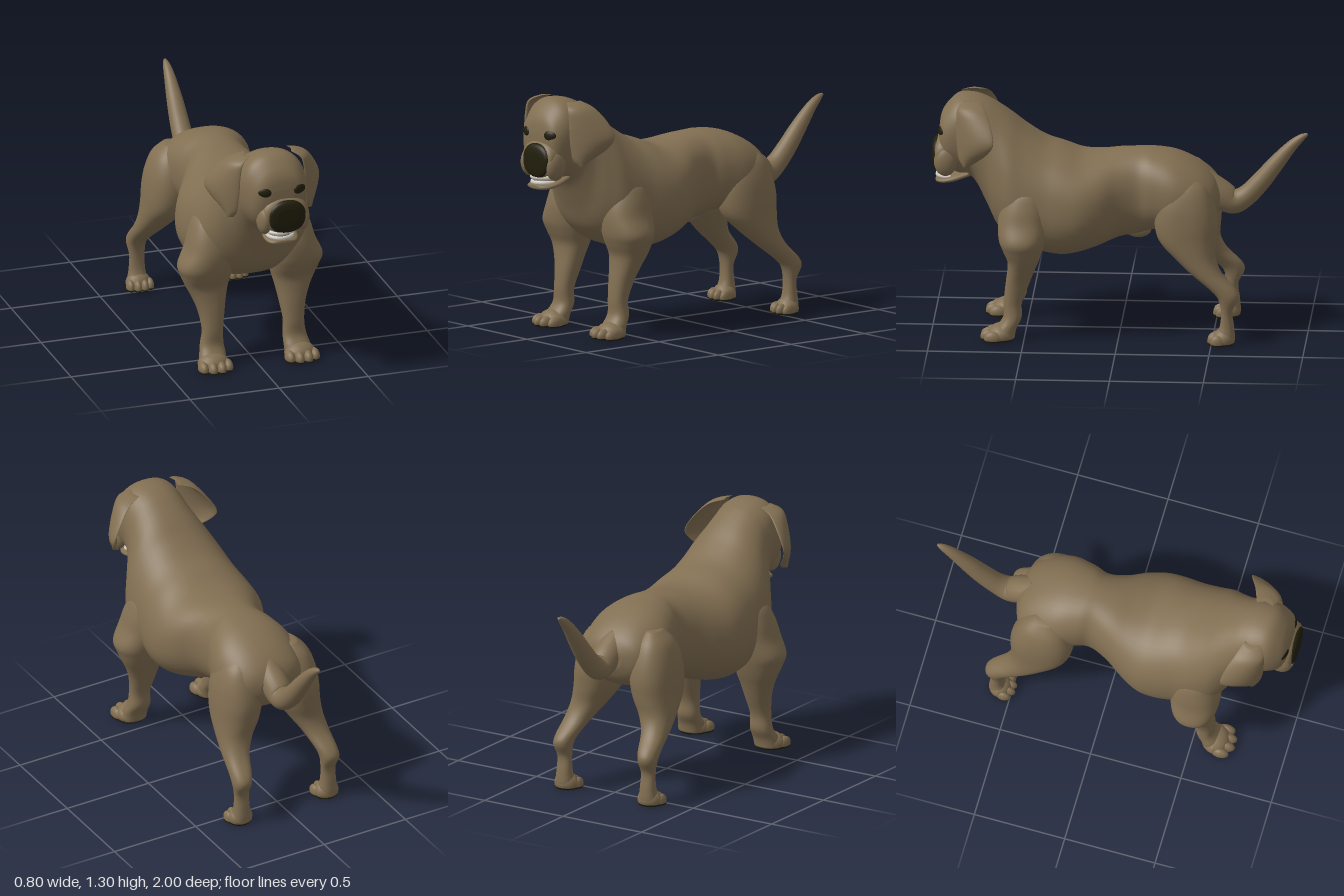
import * as THREE from 'three';

const mat = (name, color) => {
  const m = new THREE.MeshStandardMaterial({ color });
  m.name = name;
  return m;
};

// Smooth interpolation between rows of numbers
function resample(rows, steps) {
  const out = [];
  const last = rows.length - 1;
  const row = (i) => rows[Math.max(0, Math.min(last, i))];
  for (let i = 0; i < last; i++) {
    for (let s = 0; s < steps; s++) {
      const t = s / steps;
      out.push(row(i).map((b, k) => {
        const a = row(i - 1)[k], c = row(i + 1)[k], d = row(i + 2)[k];
        return b + 0.5 * t * (c - a + t * (2 * a - 5 * b + 4 * c - d + t * (3 * (b - c) + d - a)));
      }));
    }
  }
  out.push(rows[last]);
  return out;
}

// Closed skin over a list of rings, with fan caps at both ends
function skin(rings) {
  const n = rings[0].length, pos = [], idx = [];
  rings.forEach((r) => r.forEach((p) => pos.push(...p)));
  for (let i = 0; i < rings.length - 1; i++) {
    for (let j = 0; j < n; j++) {
      const k = (j + 1) % n, a = i * n + j, b = i * n + k;
      idx.push(a, b, b + n, a, b + n, a + n);
    }
  }
  [0, rings.length - 1].forEach((i) => {
    const c = pos.length / 3;
    pos.push(...[0, 1, 2].map((k) => rings[i].reduce((s, p) => s + p[k], 0) / n));
    for (let j = 0; j < n; j++) {
      const a = i * n + j, b = i * n + (j + 1) % n;
      idx.push(c, ...(i ? [a, b] : [b, a]));
    }
  });
  const g = new THREE.BufferGeometry();
  g.setAttribute('position', new THREE.Float32BufferAttribute(pos, 3));
  g.setIndex(idx);
  g.computeVertexNormals();
  return g;
}

const ringOf = (n, fn) => Array.from({ length: n }, (_, j) => fn((j / n) * Math.PI * 2));
const soft = (v) => Math.sign(v) * Math.abs(v) ** 0.88;

// Rows are [t, x0, x1, v0, v1, belly]; t runs up z (v = y) or down y (v = z)
function loft(rows, axis, n = 36) {
  return skin(resample(rows, 5).map(([t, x0, x1, v0, v1, k = 0]) => ringOf(n, (a) => {
    const s = soft(Math.sin(a));
    const x = (x0 + x1) / 2 + ((x1 - x0) / 2) * soft(Math.cos(a)) * (1 - k * s);
    const v = (v0 + v1) / 2 + ((v1 - v0) / 2) * s;
    return axis === 'z' ? [x, v, t] : [x, t, v];
  })));
}

export function createModel() {
  const model = new THREE.Group();
  model.name = 'dog';
  const fur = mat('fur brown', 0x826f52);
  const dark = mat('nose and pad dark', 0x211e0b);
  const white = mat('tooth white', 0xd2cdc2);
  const tongueTan = mat('tongue tan', 0x8a7462);

  const add = (name, geo, material) => {
    const m = new THREE.Mesh(geo, material);
    m.name = name;
    model.add(m);
    return m;
  };
  const blob = (name, p, r, material) => {
    const m = add(name, new THREE.SphereGeometry(1, 24, 16), material);
    m.position.set(...p);
    m.scale.set(...r);
    return m;
  };

  // Torso, neck and skull in one skin
  add('body', loft([
    [-0.535, -0.06, 0.11, 0.7, 0.81, 0],
    [-0.5, -0.15, 0.19, 0.63, 0.87, 0],
    [-0.42, -0.2, 0.25, 0.58, 0.935, 0.05],
    [-0.3, -0.22, 0.27, 0.57, 0.99, 0.05],
    [-0.18, -0.19, 0.24, 0.57, 1.01, 0],
    [-0.1, -0.17, 0.215, 0.545, 1.01, 0],
    [0, -0.21, 0.24, 0.525, 1, 0],
    [0.1, -0.27, 0.3, 0.485, 0.985, 0.03],
    [0.2, -0.315, 0.335, 0.45, 0.985, 0.05],
    [0.3, -0.32, 0.335, 0.43, 1.02, 0.08],
    [0.4, -0.31, 0.32, 0.44, 1.055, 0.1],
    [0.5, -0.3, 0.31, 0.465, 1.12, 0.16],
    [0.58, -0.275, 0.295, 0.51, 1.185, 0.18],
    [0.65, -0.23, 0.255, 0.58, 1.235, 0.12],
    [0.71, -0.185, 0.215, 0.7, 1.27, 0],
    [0.78, -0.165, 0.2, 0.83, 1.292, -0.08],
    [0.86, -0.155, 0.195, 0.86, 1.29, -0.08],
    [0.92, -0.125, 0.18, 0.9, 1.24, 0],
    [0.952, -0.085, 0.15, 0.97, 1.185, 0],
    [0.962, -0.03, 0.09, 1.03, 1.12, 0],
  ], 'z', 48), fur);

  // Muzzle, nose and lower jaw
  add('muzzle', loft([
    [0.84, -0.06, 0.16, 0.93, 1.08],
    [0.9, -0.08, 0.17, 0.9, 1.095],
    [0.95, -0.08, 0.175, 0.885, 1.08],
    [0.978, -0.065, 0.165, 0.885, 1.055],
    [0.986, -0.02, 0.12, 0.93, 1.02],
  ], 'z'), fur);
  add('nose', loft([
    [0.95, -0.045, 0.15, 0.89, 1.065],
    [0.975, -0.052, 0.157, 0.882, 1.064],
    [0.992, -0.04, 0.145, 0.892, 1.05],
    [1, -0.005, 0.105, 0.93, 1.02],
  ], 'z'), dark);
  add('lowerJaw', loft([
    [0.8, -0.02, 0.12, 0.85, 0.89],
    [0.88, -0.055, 0.135, 0.822, 0.868],
    [0.94, -0.05, 0.125, 0.812, 0.85],
    [0.975, -0.025, 0.1, 0.815, 0.842],
    [0.982, 0.01, 0.07, 0.823, 0.836],
  ], 'z'), fur);
  blob('tongue', [0.035, 0.858, 0.91], [0.055, 0.016, 0.055], tongueTan);
  [['upperTeeth', 0.878, 0.075], ['lowerTeeth', 0.85, 0.07]].forEach(([name, y, r]) => {
    const t = add(name, new THREE.TorusGeometry(1, 0.13, 8, 28, Math.PI), white);
    t.position.set(0.035, y, 0.9);
    t.rotation.x = Math.PI / 2;
    t.scale.set(r, 0.075, 0.09);
  });

  for (const side of [-1, 1]) {
    const label = side > 0 ? 'left' : 'right';
    const mirror = (rows) => rows.map(([t, a, b, ...v]) => (side > 0 ? [t, a, b, ...v] : [t, -b, -a, ...v]));

    // Hanging upper lip and eye
    blob(label + 'Lip', [0.045 + side * 0.105, 0.95, 0.925], [0.04, 0.08, 0.062], fur);
    const eye = blob(label + 'Eye', [0.033 + side * 0.098, 1.112, 0.946], [0.038, 0.029, 0.016], dark);
    eye.rotation.y = side * 0.35;

    // Ear flap: rows of [y, front x, front z, back x, back z, half thickness]
    add(label + 'Ear', skin(resample([
      [1.28, 0.12, 0.83, 0.12, 0.74, 0.012],
      [1.25, 0.165, 0.86, 0.2, 0.71, 0.018],
      [1.18, 0.18, 0.865, 0.27, 0.675, 0.018],
      [1.1, 0.185, 0.865, 0.315, 0.66, 0.016],
      [1.04, 0.19, 0.86, 0.295, 0.69, 0.015],
      [0.98, 0.195, 0.85, 0.24, 0.75, 0.013],
      [0.945, 0.205, 0.825, 0.215, 0.795, 0.008],
    ], 5).map(([y, xf, zf, xb, zb, th]) => ringOf(24, (a) => {
      const u = (1 - Math.cos(a)) / 2, dx = xb - xf, dz = zf - zb, len = Math.hypot(dx, dz);
      const off = -side * th * Math.sin(a) + 0.02 * Math.sin(a) ** 2;
      return [0.008 + side * (xf + dx * u + (dz / len) * off), y, zf - dz * u + (dx / len) * off];
    }))), fur);

    // Legs with shoulder and thigh
    add(label + 'FrontLeg', loft(mirror([
      [0.88, 0.16, 0.23, 0.44, 0.53],
      [0.82, 0.12, 0.3, 0.39, 0.58],
      [0.74, 0.1, 0.335, 0.37, 0.62],
      [0.65, 0.1, 0.36, 0.37, 0.64],
      [0.56, 0.1, 0.4, 0.385, 0.635],
      [0.5, 0.11, 0.385, 0.4, 0.615],
      [0.44, 0.125, 0.36, 0.42, 0.59],
      [0.38, 0.14, 0.33, 0.445, 0.59],
      [0.3, 0.155, 0.3, 0.475, 0.6],
      [0.2, 0.17, 0.285, 0.512, 0.61],
      [0.12, 0.168, 0.295, 0.513, 0.612],
      [0.06, 0.165, 0.31, 0.54, 0.65],
      [0.01, 0.17, 0.315, 0.55, 0.66],
    ]), 'y'), fur);
    add(label + 'HindLeg', loft(mirror([
      [0.9, 0.12, 0.19, -0.41, -0.3],
      [0.84, 0.08, 0.25, -0.47, -0.24],
      [0.75, 0.05, 0.285, -0.51, -0.2],
      [0.65, 0.05, 0.3, -0.53, -0.19],
      [0.55, 0.07, 0.305, -0.525, -0.215],
      [0.46, 0.12, 0.31, -0.52, -0.3],
      [0.38, 0.17, 0.315, -0.555, -0.39],
      [0.3, 0.205, 0.32, -0.63, -0.49],
      [0.25, 0.218, 0.32, -0.645, -0.535],
      [0.18, 0.225, 0.308, -0.612, -0.55],
      [0.1, 0.222, 0.31, -0.62, -0.545],
      [0.04, 0.212, 0.32, -0.625, -0.52],
      [0.01, 0.215, 0.317, -0.62, -0.52],
    ]), 'y'), fur);

    // Paws: four toes, a rounded top and dark pads beneath
    [['Front', 0.243, 0.632, 1], ['Hind', 0.265, -0.558, 0.8]].forEach(([end, x, z, s]) => {
      const piece = (name, dx, dz, rx, ry, rz) => {
        const px = side * (x + dx * s), pz = z + dz * s;
        const g = new THREE.SphereGeometry(1, 18, 12);
        const p = g.attributes.position;
        for (let i = 0; i < p.count; i++) p.setY(i, Math.max(p.getY(i), -0.35));
        g.computeVertexNormals();
        const m = add(label + end + name, g, fur);
        m.position.set(px, 0.006 + ry * 0.35, pz);
        m.scale.set(rx * s, ry, rz * s);
        const pad = add(label + end + name + 'Pad', new THREE.CylinderGeometry(0.97, 0.9, 0.008, 18), dark);
        pad.position.set(px, 0.004, pz);
        pad.scale.set(rx * s, 1, rz * s);
      };
      piece('Paw', 0, -0.01, 0.085, 0.06, 0.075);
      [-0.068, -0.024, 0.024, 0.068].forEach((dx, i) => {
        piece('Toe' + (i + 1), dx, Math.abs(dx) > 0.05 ? 0.03 : 0.052, 0.027, 0.038, 0.048);
      });
    });
  }

  // Tail: rows of [z, y, radius], dipping then sweeping up
  const tail = resample([
    [-0.43, 0.84, 0.07], [-0.53, 0.765, 0.076], [-0.6, 0.722, 0.068],
    [-0.67, 0.752, 0.057], [-0.75, 0.835, 0.052], [-0.83, 0.935, 0.044],
    [-0.91, 1.03, 0.031], [-0.965, 1.08, 0.02], [-0.998, 1.1, 0.007],
  ], 5);
  add('tail', skin(tail.map(([z, y, r], i) => {
    const a = tail[Math.max(0, i - 1)], b = tail[Math.min(tail.length - 1, i + 1)];
    const len = Math.hypot(b[0] - a[0], b[1] - a[1]);
    const tz = (b[0] - a[0]) / len, ty = (b[1] - a[1]) / len;
    return ringOf(24, (t) => [
      0.03 + r * Math.cos(t), y + r * tz * Math.sin(t), z - r * ty * Math.sin(t),
    ]);
  })), fur);

  // Small fold under the belly
  blob('bellyFold', [0.02, 0.555, -0.095], [0.03, 0.045, 0.07], fur);

  return model;
}
